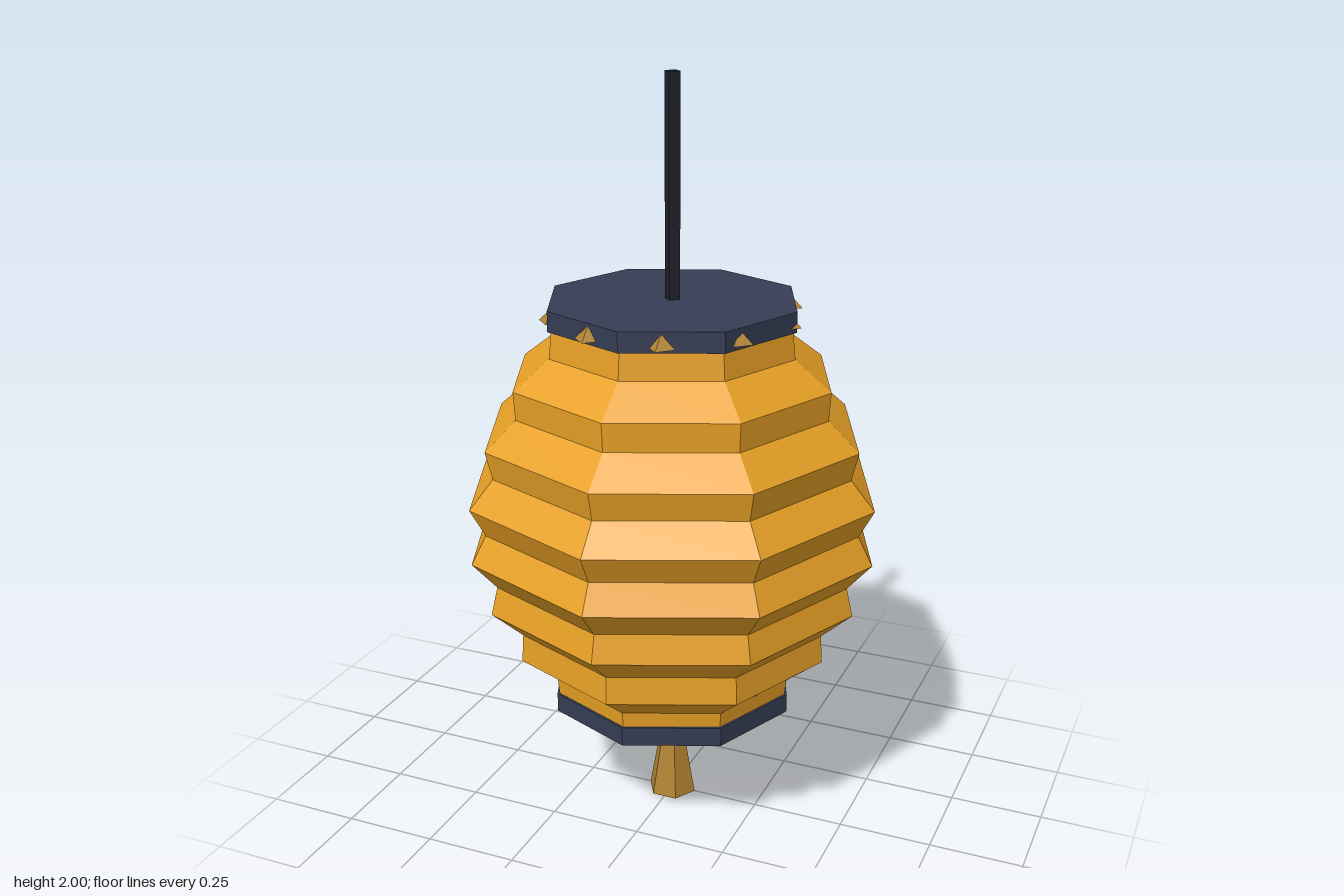
import * as THREE from 'three';

export function createModel() {
  const model = new THREE.Group();
  model.name = 'paperLantern';

  const material = (name, color) => {
    const m = new THREE.MeshStandardMaterial({ color, flatShading: true });
    m.name = name;
    return m;
  };
  const paper = material('amberPaper', 0xe8a126);
  const slate = material('slateCap', 0x363d54);
  const dark = material('darkCord', 0x1f202b);
  const brass = material('brass', 0xb08332);

  const add = (name, geometry, mat, x, y, z) => {
    const mesh = new THREE.Mesh(geometry, mat);
    mesh.name = name;
    mesh.position.set(x, y, z);
    model.add(mesh);
    return mesh;
  };

  // Pleated body: radii from the middle ring outwards, mirrored up and down
  const radii = [0.515, 0.555, 0.49, 0.508, 0.425, 0.43, 0.333, 0.325];
  const pleats = [];
  for (let i = -7; i <= 7; i++) {
    pleats.push(new THREE.Vector2(radii[Math.abs(i)], 0.86 + i * 0.075));
  }
  add('lanternBody', new THREE.LatheGeometry(pleats, 8), paper, 0, 0, 0);

  // Octagonal end caps
  for (const [name, y0, y1] of [['topCap', 1.38, 1.433], ['bottomCap', 0.315, 0.367]]) {
    add(name, new THREE.CylinderGeometry(0.335, 0.335, y1 - y0, 8), slate, 0, (y0 + y1) / 2, 0);
  }

  // Hanging cord
  add('hangingCord', new THREE.CylinderGeometry(0.021, 0.021, 0.6, 4), dark, 0, 1.7, 0);

  // Ten small studs set into the rim of the top cap
  for (let i = 0; i < 10; i++) {
    const a = (i * Math.PI) / 5;
    add('rimStud', new THREE.ConeGeometry(0.037, 0.035, 4), brass,
      0.31 * Math.cos(a), 1.41, 0.31 * Math.sin(a));
  }

  // Knot and flared tassel below
  const tassel = [[0, 0], [0.068, 0], [0.034, 0.187], [0.067, 0.25], [0.022, 0.325]]
    .map(([r, y]) => new THREE.Vector2(r, y));
  add('tassel', new THREE.LatheGeometry(tassel, 6, Math.PI / 2), brass, 0, 0, 0);

  return model;
}
